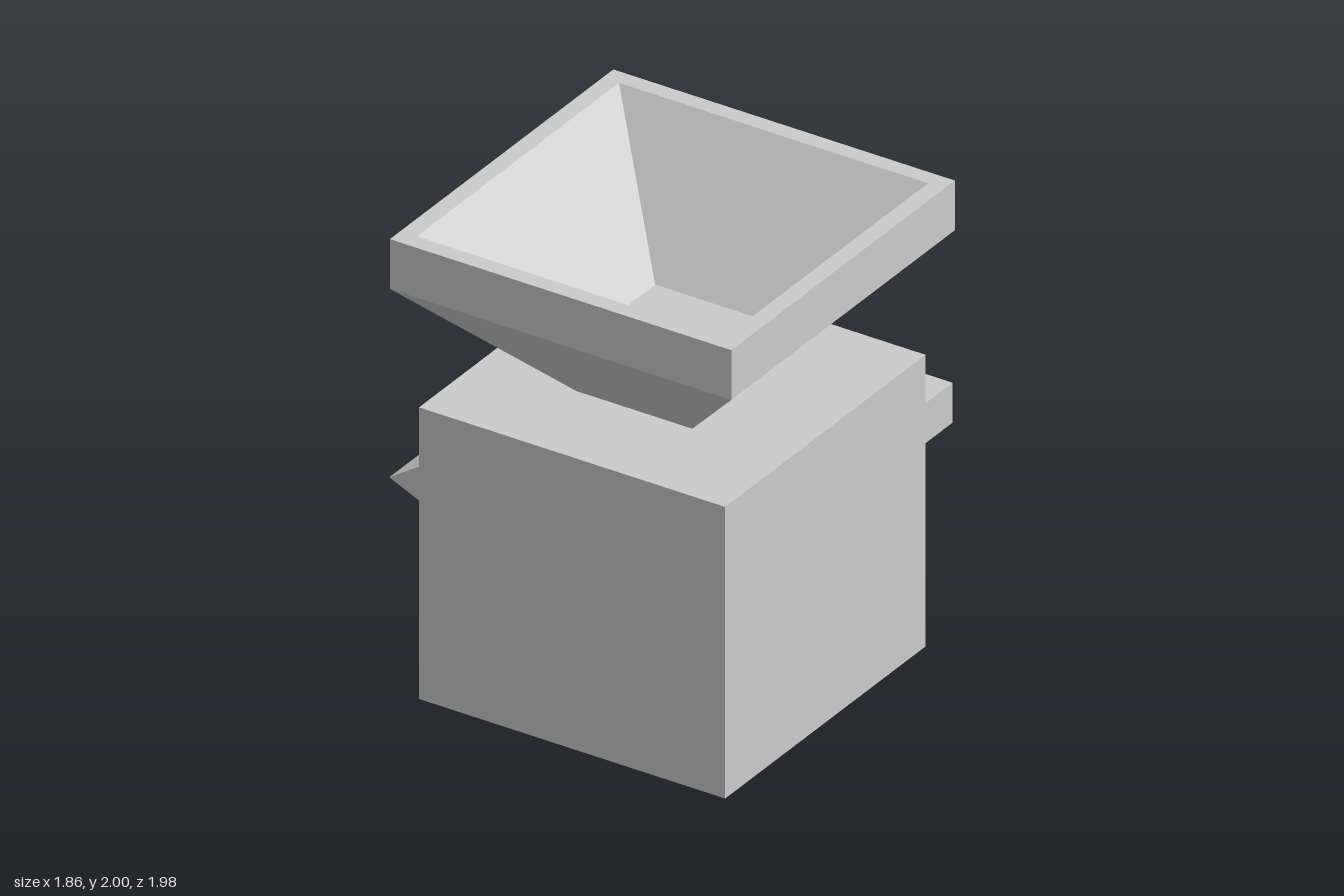
import * as THREE from 'three';

const material = new THREE.MeshStandardMaterial({
  color: 0xcccccc, flatShading: true, side: THREE.DoubleSide,
});

// Loft through rectangular sections [halfX, halfZ, y]; the last one is capped, the first optionally.
function loft(sections, capStart = true) {
  const corners = [[1, 1], [1, -1], [-1, -1], [-1, 1]];
  const positions = sections.flatMap(([hx, hz, y]) =>
    corners.flatMap(([sx, sz]) => [sx * hx, y, sz * hz]));
  const index = [];
  for (let k = 0; k < sections.length - 1; k++) {
    for (let i = 0; i < 4; i++) {
      const a = k * 4 + i, b = k * 4 + (i + 1) % 4;
      index.push(a, b, b + 4, a, b + 4, a + 4);
    }
  }
  const e = (sections.length - 1) * 4;
  index.push(e, e + 1, e + 2, e, e + 2, e + 3);
  if (capStart) index.push(0, 2, 1, 0, 3, 2);
  const indexed = new THREE.BufferGeometry();
  indexed.setAttribute('position', new THREE.Float32BufferAttribute(positions, 3));
  indexed.setIndex(index);
  const geometry = indexed.toNonIndexed();
  geometry.computeVertexNormals();
  return geometry;
}

export function createModel() {
  const model = new THREE.Group();
  model.name = 'grinder';
  const add = (name, geometry, x, y, z) => {
    const mesh = new THREE.Mesh(geometry, material);
    mesh.name = name;
    mesh.position.set(x, y, z);
    model.add(mesh);
    return mesh;
  };

  // Hollow body, open underneath
  add('body', loft([[0.686, 0.686, 0], [0.686, 0.686, 1.26]], false), 0.163, 0, 0.222);

  // Hopper: outer funnel, upright rim, then the sloping inside down to its floor
  add('hopper', loft([
    [0.255, 0.255, 1.255],
    [0.765, 0.765, 1.785],
    [0.765, 0.765, 2],
    [0.692, 0.692, 2],
    [0.223, 0.223, 1.5],
  ]), 0.163, 0, 0.222);

  // Wedge spout, its base reaching just inside the wall
  const wedge = new THREE.Shape([
    new THREE.Vector2(-0.93, 0.63),
    new THREE.Vector2(-0.49, 0.437),
    new THREE.Vector2(-0.49, 0.92),
  ]);
  add('spout', new THREE.ExtrudeGeometry(wedge, { depth: 0.5, bevelEnabled: false }), 0, 0, -0.01);

  // Crank shaft and tapered grip
  add('crankShaft', new THREE.BoxGeometry(0.078, 0.08, 0.38), 0.187, 0.729, -0.645);
  const grip = add('crankGrip', loft([
    [0.062, 0.072, 0.115],
    [0.086, 0.094, 0.45],
    [0.086, 0.094, 0.625],
  ]), 0, 0.73, -0.898);
  grip.rotation.z = -Math.PI / 2;

  return model;
}
